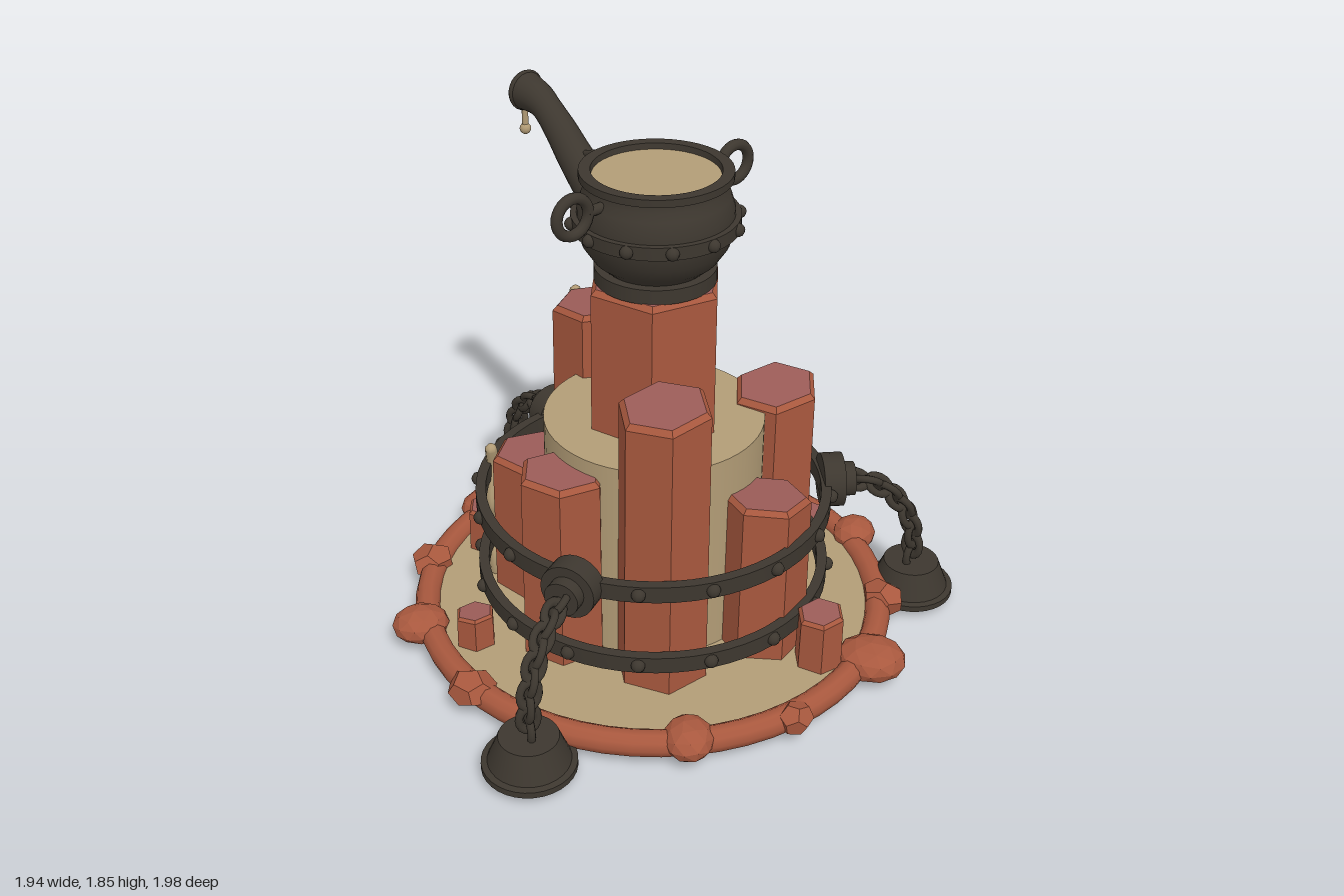
import * as THREE from 'three';
import { toCreasedNormals } from 'three/addons/utils/BufferGeometryUtils.js';

const rad = THREE.MathUtils.degToRad;
const V3 = (x, y, z) => new THREE.Vector3(x, y, z);
const V2 = (a) => a.map(([x, y]) => new THREE.Vector2(x, y));

function material(name, color, side = THREE.FrontSide) {
  const m = new THREE.MeshStandardMaterial({ color, side });
  m.name = name;
  return m;
}

function faceted(geo) {
  const g = geo.index ? geo.toNonIndexed() : geo;
  g.computeVertexNormals();
  return g;
}

export function createModel() {
  const clay = material('terracotta', 0xa8583e);
  const cap = material('dusty rose', 0x9c5c58);
  const sand = material('sand', 0xb29c76);
  const iron = material('dark iron', 0x3d372f, THREE.DoubleSide);

  const root = new THREE.Group();
  root.name = 'columnFountain';
  root.position.set(0.037, 0, 0.087);

  const add = (name, geo, mat, x = 0, y = 0, z = 0, parent = root) => {
    const m = new THREE.Mesh(geo, mat);
    m.name = name;
    m.position.set(x, y, z);
    parent.add(m);
    return m;
  };
  const lathe = (pts, seg = 48) => toCreasedNormals(new THREE.LatheGeometry(V2(pts), seg), 0.6);

  // Pool base with its rocky rim
  add('poolDisk', new THREE.CylinderGeometry(0.8, 0.8, 0.03, 56), sand, 0, 0.065, 0);
  add('poolRim', new THREE.TorusGeometry(0.805, 0.045, 10, 56).rotateX(Math.PI / 2), clay, 0, 0.073, 0);
  const rocks = [
    [-0.16, -0.8, 0.1], [0.35, -0.75, 0.095], [0.665, -0.475, 0.1], [0.82, -0.16, 0.08],
    [0.8, 0.235, 0.09], [0.59, 0.575, 0.085], [0.31, 0.78, 0.12], [-0.1, 0.83, 0.065],
    [-0.43, 0.68, 0.095], [-0.82, 0.04, 0.09], [-0.76, -0.355, 0.1], [-0.52, -0.635, 0.09],
  ];
  rocks.forEach(([x, z, r], i) => {
    const g = i % 2 ? new THREE.DodecahedronGeometry(1, 0) : new THREE.IcosahedronGeometry(1, 1);
    g.rotateX(i * 1.3).rotateZ(i * 0.7).scale(r, 0.04 + r * 0.22, r * 0.88).rotateY(i * 0.9);
    add('rimRock', faceted(g), clay, x, 0.088, z);
  });

  // Central drum
  add('drum', new THREE.CylinderGeometry(0.375, 0.375, 0.77, 56), sand, 0, 0.435, 0);

  // Hexagonal columns: chamfered body, sloping rose cap
  function column(name, x, z, r, h, turn, sx = 0, sz = 0) {
    const group = new THREE.Group();
    group.name = name;
    group.position.set(x, 0, z);
    root.add(group);
    const b = Math.min(0.018, r * 0.14);
    const rt = r * 0.97;
    const part = (pts) => {
      const g = new THREE.LatheGeometry(V2(pts), 6, Math.PI / 2 - rad(turn));
      const p = g.attributes.position;
      for (let i = 0; i < p.count; i++) {
        if (p.getY(i) > h / 2) p.setY(i, p.getY(i) + sx * p.getX(i) + sz * p.getZ(i));
      }
      return faceted(g);
    };
    add('columnBody', part([[0, 0.03], [r - b, 0.03], [r, 0.03 + b], [rt, h - b], [rt - b, h]]), clay, 0, 0, 0, group);
    add('columnCap', part([[rt - b, h], [0, h]]), cap, 0, 0, 0, group);
  }
  column('centralColumn', 0, 0, 0.24, 1.335, 13);
  [
    [-0.27, -0.33, 0.15, 0.62, 22, 0, 0.05],
    [0.095, -0.42, 0.165, 1.05, 28, 0, 0.1],
    [0.4, -0.19, 0.155, 0.6, 27, 0, -0.12],
    [0.4, 0.175, 0.157, 0.86, 13, 0.13, 0],
    [0.115, 0.44, 0.152, 0.665, -15, -0.1, 0.05],
    [-0.25, 0.34, 0.16, 1.1, 2, 0.1, 0],
    [-0.415, 0.02, 0.152, 0.77, 10, -0.06, 0],
  ].forEach((c) => column('ringColumn', ...c));
  [
    [-0.28, -0.605, 0.083, 0.25, 10, 0.08, 0],
    [0.43, -0.515, 0.083, 0.26, 20, 0, -0.1],
    [-0.655, -0.17, 0.072, 0.2, 5, 0, 0.1],
    [0.67, 0.115, 0.074, 0.18, 15, 0.1, 0],
    [0.175, 0.66, 0.084, 0.28, 8, 0.1, 0],
  ].forEach((c) => column('smallColumn', ...c));

  // Studded bands
  function band(name, y, r, thick, half, studs, studR, parent = root) {
    const a = r - thick;
    add(name, lathe([[a, -half], [r, -half], [r, half], [a, half], [a, -half]], 64), iron, 0, y, 0, parent);
    for (let i = 0; i < studs; i++) {
      const t = (i / studs) * Math.PI * 2;
      add('stud', new THREE.SphereGeometry(studR, 10, 8), iron, Math.sin(t) * r, y, Math.cos(t) * r, parent);
    }
  }
  band('upperHoop', 0.515, 0.615, 0.035, 0.03, 16, 0.024);
  band('lowerHoop', 0.23, 0.615, 0.035, 0.03, 16, 0.024);

  // Chains from the upper hoop to bell-shaped anchors
  const chainPath = new THREE.CatmullRomCurve3([
    V3(0.69, 0.515, 0), V3(0.8, 0.48, 0), V3(0.89, 0.39, 0), V3(0.935, 0.28, 0), V3(0.94, 0.15, 0)]);
  const linkGeo = new THREE.TorusGeometry(0.031, 0.0135, 8, 16).scale(1.4, 1, 1);
  const anchorGeo = lathe([[0, 0.03], [0.155, 0.03], [0.155, 0.052], [0.135, 0.056], [0.098, 0.15], [0, 0.15]], 32);
  for (let k = 0; k < 3; k++) {
    const arm = new THREE.Group();
    arm.name = 'chainArm';
    arm.rotation.y = -rad(-85 + 120 * k);
    root.add(arm);
    const disc = (name, r, len, x) =>
      add(name, new THREE.CylinderGeometry(r, r, len, 24).rotateZ(Math.PI / 2), iron, x, 0.515, 0, arm);
    disc('bracket', 0.095, 0.075, 0.625);
    disc('bracketBoss', 0.06, 0.05, 0.68);
    add('anchor', anchorGeo, iron, 0.942, 0, 0, arm);
    const n = 11;
    for (let i = 0; i < n; i++) {
      const u = (i + 0.5) / n;
      const p = chainPath.getPointAt(u), t = chainPath.getTangentAt(u);
      const link = add('chainLink', linkGeo, iron, p.x, p.y, 0, arm);
      link.rotation.set(i % 2 ? Math.PI / 4 : -Math.PI / 4, 0, Math.atan2(t.y, t.x), 'ZYX');
    }
  }

  // Pot on its plinth
  const pot = new THREE.Group();
  pot.name = 'pot';
  root.add(pot);
  add('plinth', new THREE.CylinderGeometry(0.2, 0.2, 0.05, 40), iron, 0, 1.358, 0, pot);
  add('potBody', lathe([
    [0, 1.38], [0.165, 1.38], [0.205, 1.415], [0.238, 1.465], [0.254, 1.53], [0.252, 1.585], [0.238, 1.63],
    [0.222, 1.655], [0.22, 1.68], [0.246, 1.685], [0.246, 1.71], [0.208, 1.71], [0.2, 1.65]]), iron, 0, 0, 0, pot);
  add('potLiquid', new THREE.CircleGeometry(0.207, 40).rotateX(-Math.PI / 2), sand, 0, 1.69, 0, pot);
  band('potBand', 1.542, 0.272, 0.03, 0.022, 12, 0.022, pot);
  for (const s of [-1, 1]) {
    add('ringHandle', new THREE.TorusGeometry(0.061, 0.0185, 10, 28), iron, s * 0.335, 1.64, 0, pot);
    add('handleLug', new THREE.CylinderGeometry(0.018, 0.018, 0.06, 10).rotateZ(Math.PI / 2), iron, s * 0.25, 1.64, 0, pot);
  }

  // Spout: tube whose radius varies along its length
  const spoutCurve = new THREE.CatmullRomCurve3([
    V3(0, 1.49, -0.17), V3(0, 1.53, -0.29), V3(0, 1.61, -0.4), V3(0, 1.7, -0.5), V3(0, 1.76, -0.59), V3(0, 1.775, -0.68)]);
  const steps = 30, sides = 20;
  const spout = new THREE.TubeGeometry(spoutCurve, steps, 1, sides);
  const pos = spout.attributes.position, v = V3(0, 0, 0);
  for (let i = 0; i <= steps; i++) {
    const u = i / steps, c = spoutCurve.getPointAt(u);
    const r = 0.078 - 0.028 * Math.min(1, u / 0.75) + 0.016 * Math.max(0, (u - 0.8) / 0.2);
    for (let j = 0; j <= sides; j++) {
      const q = i * (sides + 1) + j;
      v.fromBufferAttribute(pos, q).sub(c).multiplyScalar(r).add(c);
      pos.setXYZ(q, v.x, v.y, v.z);
    }
  }
  spout.computeVertexNormals();
  add('spout', spout, iron, 0, 0, 0, pot);
  add('spoutLip', new THREE.TorusGeometry(0.058, 0.012, 8, 28), iron, 0, 1.775, -0.675, pot);
  add('spoutMouth', new THREE.CircleGeometry(0.058, 24).rotateY(Math.PI), sand, 0, 1.775, -0.683, pot);
  add('spoutStay', new THREE.TubeGeometry(
    new THREE.LineCurve3(V3(0, 1.695, -0.21), V3(0, 1.645, -0.36)), 1, 0.012, 8), iron, 0, 0, 0, pot);

  // Drips ending in round drops
  function drip(x, z, top, bottom, r, ball, wobble = 0) {
    const pts = [];
    const n = 8;
    for (let i = 0; i <= n; i++) {
      const w = wobble * Math.sin(i * 1.7);
      pts.push(V3(x + w, top + (bottom - top) * (i / n), z - w));
    }
    add('drip', new THREE.TubeGeometry(new THREE.CatmullRomCurve3(pts), 32, r, 8), sand);
    add('dripTop', new THREE.SphereGeometry(r, 8, 6), sand, x, top, z);
    add('drop', new THREE.SphereGeometry(ball, 12, 8), sand, x, bottom, z);
  }
  drip(0.255, -0.04, 1.32, 1.065, 0.017, 0.025, 0.004);
  drip(0.09, -0.245, 1.32, 0.945, 0.02, 0.024, 0.006);
  drip(0.525, -0.26, 0.57, 0.024, 0.022, 0.024, 0.012);
  drip(-0.365, -0.45, 0.6, 0.024, 0.022, 0.024, 0.012);
  drip(0.115, -0.57, 1.02, 0.024, 0.022, 0.024, 0.01);
  drip(0, -0.685, 1.74, 1.635, 0.011, 0.02);

  const model = new THREE.Group();
  model.name = 'model';
  model.add(root);
  return model;
}
